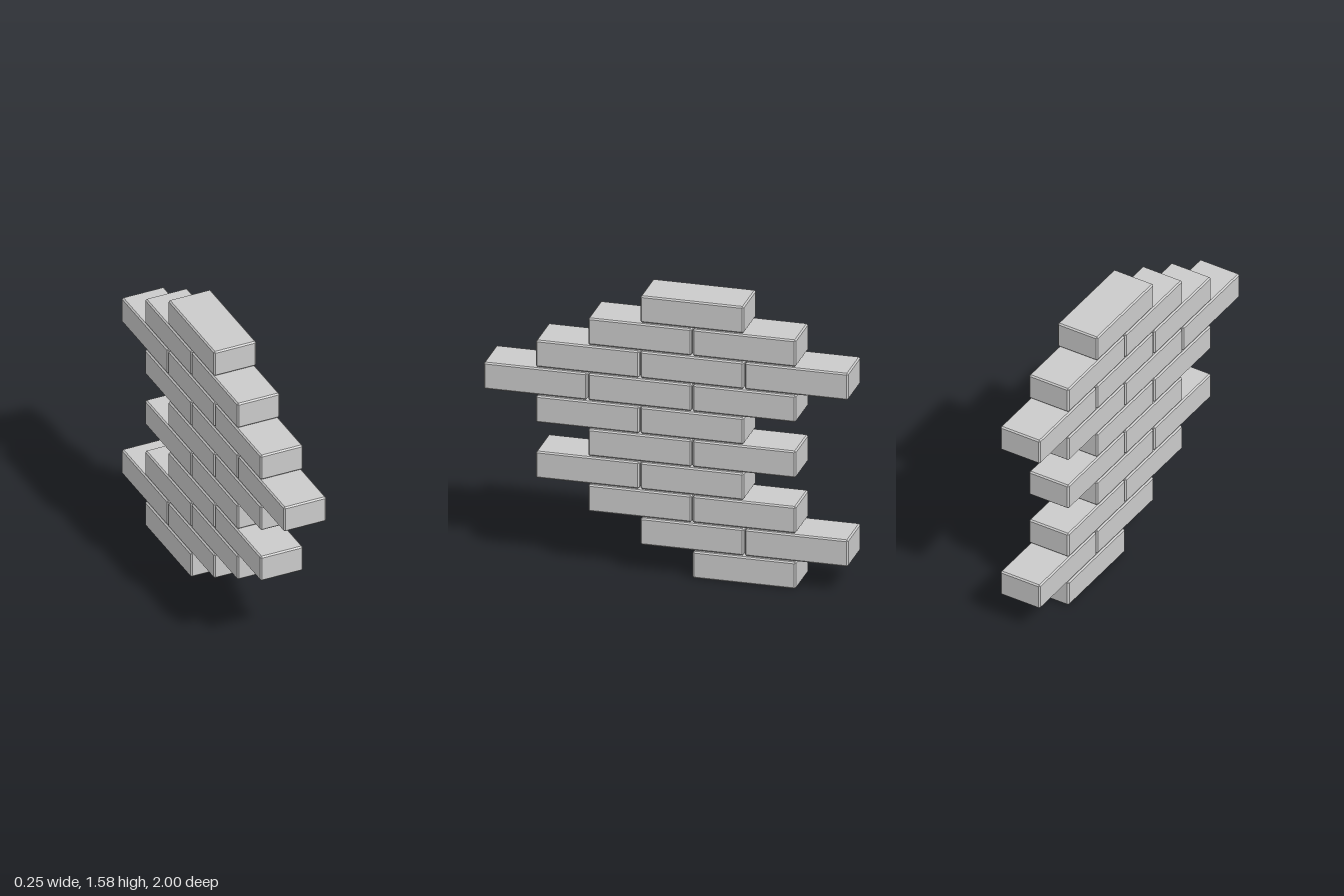
import * as THREE from 'three';
import { ConvexGeometry } from 'three/addons/geometries/ConvexGeometry.js';

const GAP = 0.006;
const STEP = (2 + GAP) / 7; // half a brick plus half a joint
const LENGTH = STEP * 2 - GAP;
const HEIGHT = 0.153;
const WIDTH = 0.248;
const CHAMFER = 0.008;

// Each course from the bottom up: [offset from the front in half bricks, number of bricks]
const COURSES = [
  [4, 1], [3, 2], [2, 2], [1, 2], [2, 2],
  [1, 2], [0, 3], [1, 3], [2, 2], [3, 1],
];

// Box with flat chamfers: three points at every corner
function chamferedBox(w, h, d, c) {
  const points = [];
  for (const x of [-1, 1]) for (const y of [-1, 1]) for (const z of [-1, 1]) {
    for (let axis = 0; axis < 3; axis++) {
      const size = [w, h, d].map((s, i) => s / 2 - (i === axis ? 0 : c));
      points.push(new THREE.Vector3(x * size[0], y * size[1], z * size[2]));
    }
  }
  return new ConvexGeometry(points);
}

export function createModel() {
  const model = new THREE.Group();
  model.name = 'brickWall';
  const material = new THREE.MeshStandardMaterial({ color: 0xcccccc, flatShading: true });
  const geometry = chamferedBox(WIDTH, HEIGHT, LENGTH, CHAMFER);

  // Running-bond courses with stepped ends
  COURSES.forEach(([offset, count], row) => {
    const course = new THREE.Group();
    course.name = `course${row + 1}`;
    course.position.y = HEIGHT / 2 + row * (HEIGHT + GAP);
    for (let i = 0; i < count; i++) {
      const brick = new THREE.Mesh(geometry, material);
      brick.name = `brick${i + 1}`;
      brick.position.z = 1 - LENGTH / 2 - (offset + i * 2) * STEP;
      course.add(brick);
    }
    model.add(course);
  });
  return model;
}
